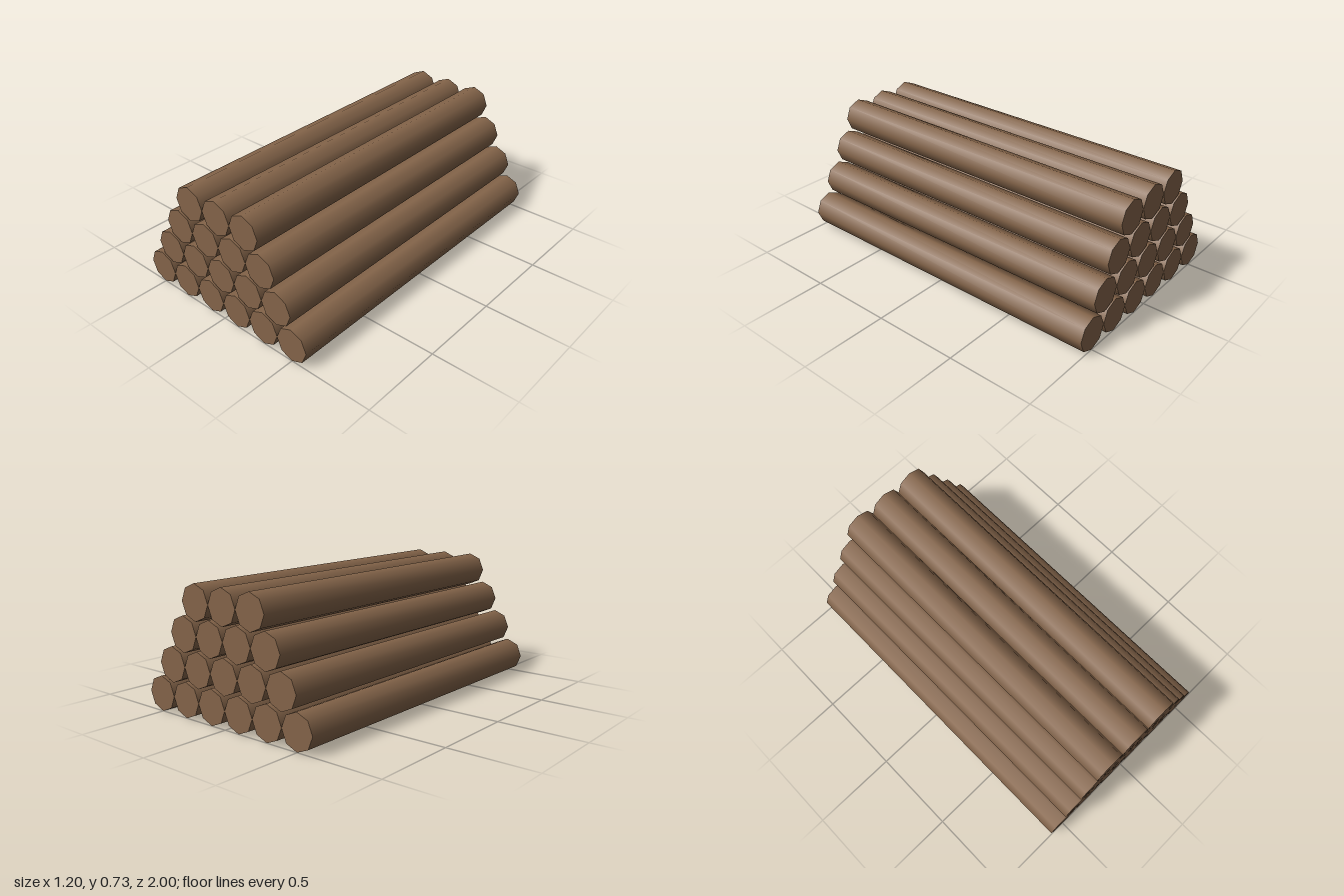
import * as THREE from 'three';

const RADIUS = 0.1;
const LENGTH = 2;
const ROW_RISE = 0.178;
const ROWS = [6, 5, 4, 3]; // logs per row, bottom to top

export function createModel() {
  const model = new THREE.Group();
  model.name = 'logPile';

  const wood = new THREE.MeshStandardMaterial({ color: 0x85654a });
  wood.name = 'brown wood';

  // Eight-sided log with smooth sides, lying along z
  const logGeometry = new THREE.CylinderGeometry(RADIUS, RADIUS, LENGTH, 8);
  logGeometry.rotateX(Math.PI / 2);

  // Each row nests in the gaps of the row beneath
  ROWS.forEach((count, row) => {
    const layer = new THREE.Group();
    layer.name = `logRow${row + 1}`;
    layer.position.y = RADIUS + row * ROW_RISE;
    for (let i = 0; i < count; i++) {
      const log = new THREE.Mesh(logGeometry, wood);
      log.name = 'log';
      log.position.x = (i - (count - 1) / 2) * RADIUS * 2;
      layer.add(log);
    }
    model.add(layer);
  });

  return model;
}
